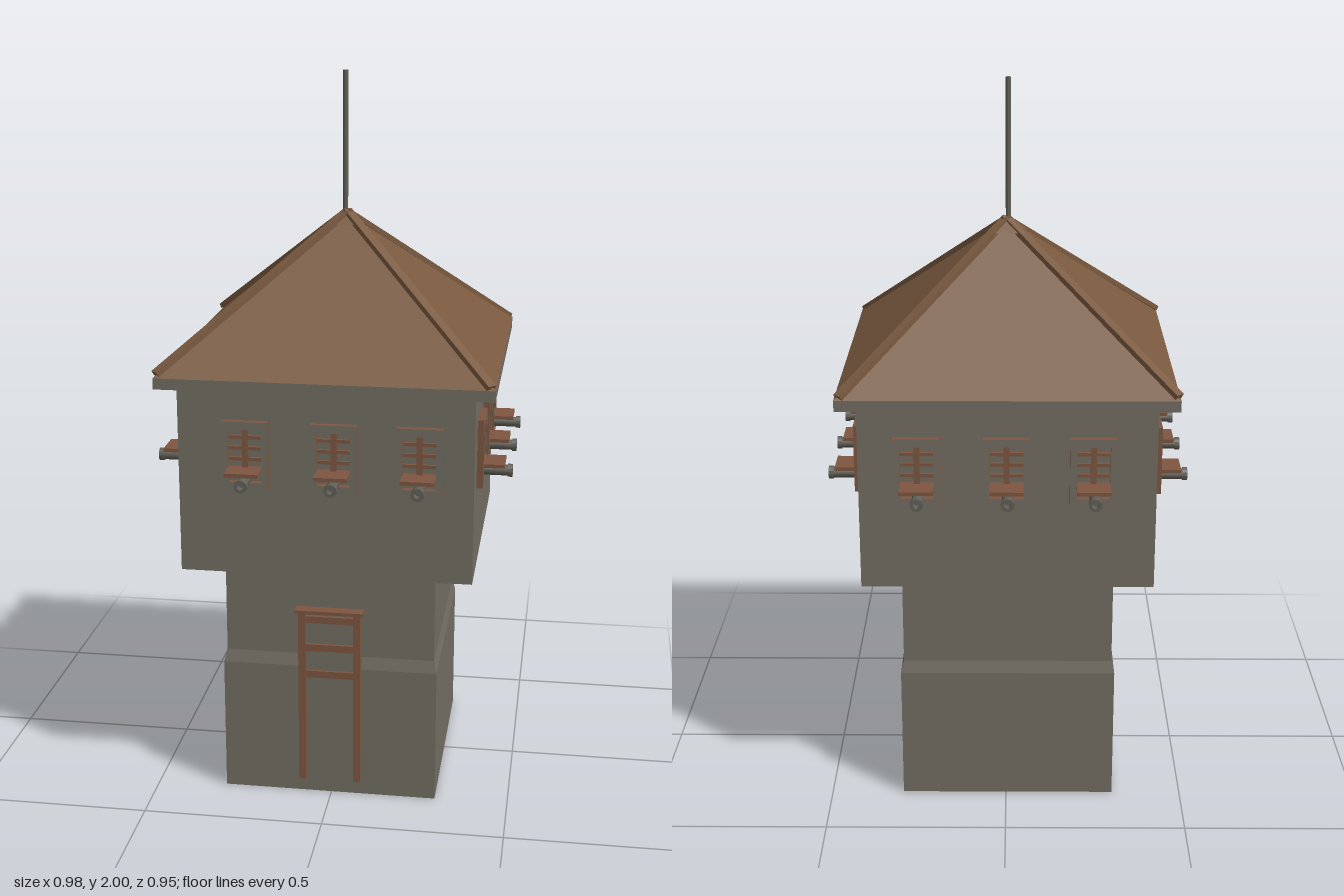
import * as THREE from 'three';

const mat = (name, color, side = THREE.FrontSide) => {
  const m = new THREE.MeshStandardMaterial({ color, side });
  m.name = name;
  return m;
};

// Hard-edged normals
const faceted = (geo) => {
  const g = geo.toNonIndexed();
  g.computeVertexNormals();
  return g;
};

// Four-sided pyramid given its half widths and height
function pyramid(hx, h, hz) {
  const g = new THREE.ConeGeometry(Math.SQRT2, h, 4, 1);
  g.rotateY(Math.PI / 4);
  g.scale(hx, 1, hz);
  return faceted(g);
}

export function createModel() {
  const stone = mat('grey stone', 0x736e64, THREE.DoubleSide);
  const roofBrown = mat('roof brown', 0x7a5a40);
  const wood = mat('wood brown', 0x7e5640);
  const metal = mat('dark metal', 0x626058);

  const model = new THREE.Group();
  model.name = 'watchtower';
  const tower = new THREE.Group();
  tower.name = 'tower';
  tower.position.x = -0.005;
  model.add(tower);

  const add = (parent, name, geo, material, x = 0, y = 0, z = 0) => {
    const m = new THREE.Mesh(geo, material);
    m.name = name;
    m.position.set(x, y, z);
    parent.add(m);
    return m;
  };
  const box = (parent, name, material, w, h, d, x, y, z) =>
    add(parent, name, new THREE.BoxGeometry(w, h, d), material, x, y, z);

  // Lower shaft: open at the bottom, with a sloped ledge
  const profile = [[0.316, 0], [0.316, 0.385], [0.307, 0.42], [0.307, 0.69]]
    .map(([r, y]) => new THREE.Vector2(r * Math.SQRT2, y));
  const shaft = new THREE.LatheGeometry(profile, 4, Math.PI / 4);
  shaft.scale(0.95, 1, 1);
  add(tower, 'shaft', faceted(shaft), stone);

  // Overhanging upper storey and eave slab
  box(tower, 'upperStorey', stone, 0.794, 0.525, 0.768, 0, 0.9475, 0.002);
  box(tower, 'eave', stone, 0.898, 0.03, 0.865, 0, 1.22, 0);

  // Roof, hip beams, cap and mast
  const hx = 0.449, hz = 0.4325, eaveY = 1.235, apexY = 1.617;
  add(tower, 'roof', pyramid(hx, apexY - eaveY, hz), roofBrown, 0, (eaveY + apexY) / 2, 0);
  for (const sx of [-1, 1]) {
    for (const sz of [-1, 1]) {
      const foot = new THREE.Vector3(sx * (hx - 0.008), eaveY + 0.008, sz * (hz - 0.008));
      const top = new THREE.Vector3(0, apexY, 0);
      const mid = foot.clone().add(top).multiplyScalar(0.5);
      const beam = box(tower, 'hipBeam', roofBrown, 0.026, 0.014, foot.distanceTo(top), mid.x, mid.y, mid.z);
      beam.lookAt(top);
    }
  }
  add(tower, 'roofCap', pyramid(0.047, 0.04, 0.045), roofBrown, 0, 1.605, -0.003);
  add(tower, 'mast', new THREE.CylinderGeometry(0.007, 0.007, 0.4, 8), metal, 0, 1.8, 0);

  // Gun ports: framed grille, raised flap and barrel, facing +z locally
  function gunPort(gunOffset) {
    const g = new THREE.Group();
    g.name = 'gunPort';
    const frameMats = [wood, wood, wood, wood, stone, wood];
    for (const s of [-1, 1]) {
      box(g, 'frameSide', frameMats, 0.018, 0.19, 0.018, s * 0.0535, 0, 0.009);
      box(g, 'frameRail', frameMats, 0.089, 0.022, 0.018, 0, s * 0.084, 0.009);
    }
    box(g, 'grilleUpright', wood, 0.016, 0.146, 0.008, 0, 0, 0.008);
    for (const y of [0.05, 0.02, -0.01]) box(g, 'grilleBar', wood, 0.089, 0.009, 0.008, 0, y, 0.005);
    box(g, 'flap', wood, 0.09, 0.01, 0.073, 0, -0.037, 0.0365);
    const barrel = new THREE.CylinderGeometry(0.015, 0.015, 0.09, 12, 1, true).rotateX(Math.PI / 2);
    add(g, 'gunBarrel', barrel, metal, gunOffset, -0.061, 0.045);
    // Muzzle ring with a recessed bore
    const muzzle = new THREE.LatheGeometry([
      [0.001, 0.07], [0.009, 0.07], [0.009, 0.093], [0.018, 0.093], [0.018, 0.08], [0.014, 0.08],
    ].reverse().map(([r, y]) => new THREE.Vector2(r, y)), 12);
    add(g, 'gunMuzzle', faceted(muzzle.rotateX(Math.PI / 2)), metal, gunOffset, -0.061, 0);
    return g;
  }

  // [wall name, turn about y, wall distance, positions along the wall's local x]
  const walls = [
    ['front', 0, 0.386, [-0.213, 0.025, 0.253]],
    ['left', Math.PI / 2, 0.397, [-0.235, 0, 0.232]],
    ['back', Math.PI, 0.382, [-0.24, -0.002, 0.228]],
    ['right', -Math.PI / 2, 0.397, [-0.246, -0.008, 0.22]],
  ];
  for (const [name, turn, dist, spots] of walls) {
    const wall = new THREE.Group();
    wall.name = name + 'GunPorts';
    wall.rotation.y = turn;
    for (const x of spots) {
      const port = gunPort(0.003);
      port.position.set(x, 1.022, dist);
      wall.add(port);
    }
    tower.add(wall);
  }

  // Entrance hatch with a ladder frame on the front
  const ladder = new THREE.Group();
  ladder.name = 'ladder';
  model.add(ladder);
  box(ladder, 'hatchPanel', stone, 0.14, 0.22, 0.02, -0.003, 0.45, 0.309);
  for (const x of [-0.08, 0.074]) box(ladder, 'ladderRail', wood, 0.02, 0.512, 0.026, x, 0.301, 0.322);
  for (const y of [0.531, 0.447, 0.367]) box(ladder, 'ladderRung', wood, 0.14, 0.02, 0.014, -0.003, y, 0.32);
  box(ladder, 'ladderTop', wood, 0.19, 0.009, 0.04, -0.003, 0.558, 0.322);

  return model;
}
